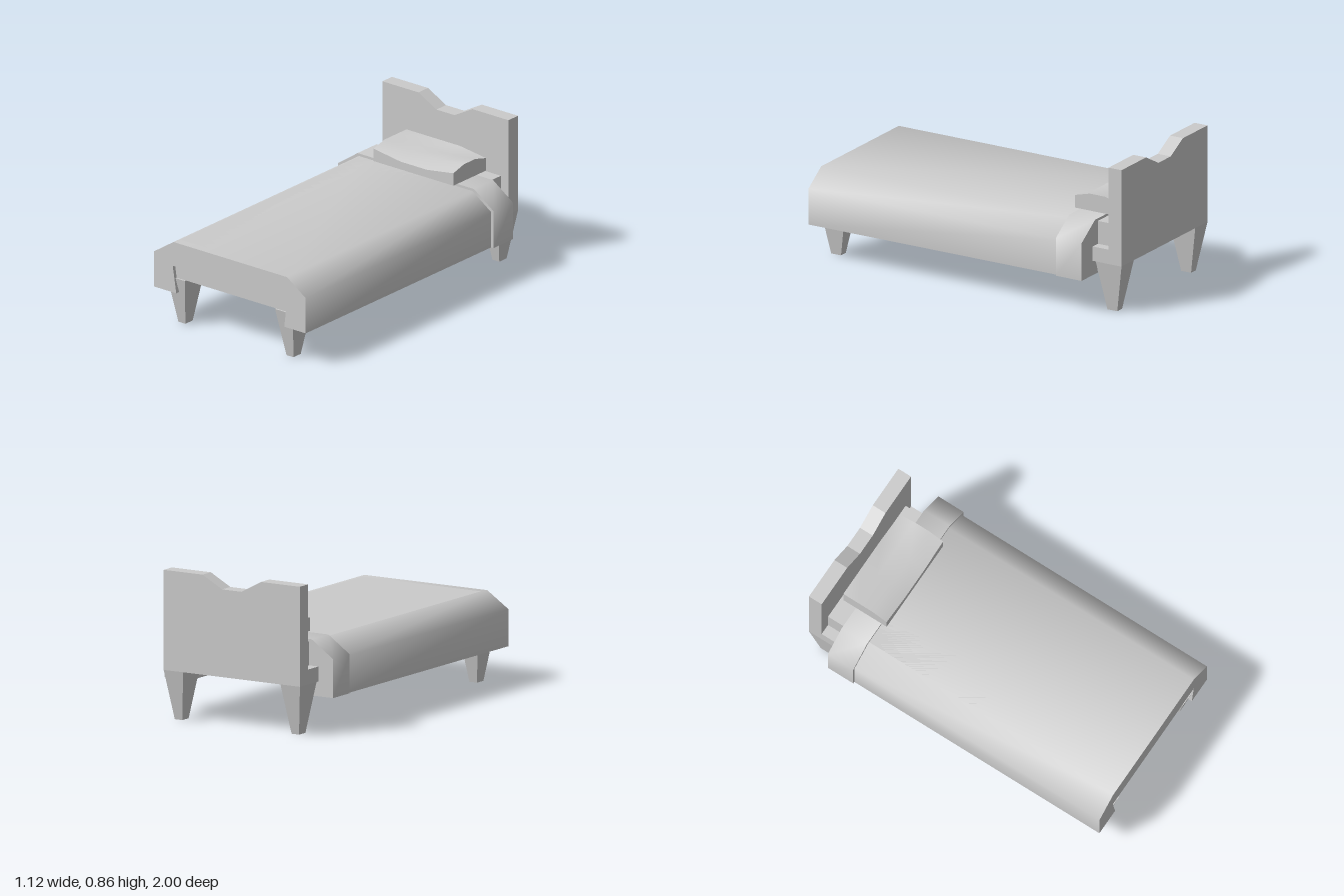
import * as THREE from 'three';
import { toCreasedNormals } from 'three/addons/utils/BufferGeometryUtils.js';

export function createModel() {
  const bed = new THREE.Group();
  bed.name = 'bed';
  const material = new THREE.MeshStandardMaterial({ color: 0xcccccc });

  const add = (name, geometry) => {
    const mesh = new THREE.Mesh(geometry, material);
    mesh.name = name;
    bed.add(mesh);
    return mesh;
  };
  // Box given by its limits
  const box = (name, x0, x1, y0, y1, z0, z1) => {
    const mesh = add(name, new THREE.BoxGeometry(x1 - x0, y1 - y0, z1 - z0));
    mesh.position.set((x0 + x1) / 2, (y0 + y1) / 2, (z0 + z1) / 2);
  };
  // Outline in x, y extruded from z0 to z1
  const prism = (name, points, z0, z1, crease) => {
    const shape = new THREE.Shape(points.map(([x, y]) => new THREE.Vector2(x, y)));
    const g = new THREE.ExtrudeGeometry(shape, { depth: z1 - z0, bevelEnabled: false });
    g.translate(0, 0, z0);
    add(name, toCreasedNormals(g, crease));
  };

  // Frame and mattress
  box('bedBase', -0.465, 0.445, 0.285, 0.37, -0.92, 0.98);
  box('mattress', -0.4, 0.39, 0.37, 0.505, -0.92, 0.95);

  // Headboard with a notched top
  prism('headboard', [
    [-0.465, 0.285], [0.445, 0.285], [0.445, 0.855], [0.185, 0.855],
    [0.055, 0.785], [-0.075, 0.785], [-0.205, 0.855], [-0.465, 0.855],
  ], -1, -0.915, 0.3);

  // Four tapered legs
  for (const [end, z] of [['front', 0.905], ['back', -0.915]]) {
    for (const [side, x] of [['Left', 0.38], ['Right', -0.4]]) {
      const g = new THREE.BoxGeometry(1, 0.285, 1);
      const p = g.attributes.position;
      for (let i = 0; i < p.count; i++) {
        const top = p.getY(i) > 0;
        p.setX(i, p.getX(i) * (top ? 0.13 : 0.05));
        p.setZ(i, p.getZ(i) * (top ? 0.17 : 0.065));
      }
      g.computeVertexNormals();
      add(`${end}${side}Leg`, g).position.set(x, 0.1425, z);
    }
  }

  // Blanket and its turned-down fold share the inner outline
  const drape = (half, shoulderX, shoulderY, topY, offset) => [
    [-half + offset, 0.2], [-0.39, 0.2], [-0.415, 0.36],
    [0.41, 0.36], [0.39, 0.2], [half + offset, 0.2],
    [half + offset, shoulderY], [shoulderX, topY],
    [-shoulderX, topY], [-half + offset, shoulderY],
  ];
  prism('blanket', drape(0.548, 0.41, 0.412, 0.505, -0.003), -0.7, 1, 1.05);
  prism('blanketFold', drape(0.562, 0.42, 0.422, 0.52, 0), -0.81, -0.64, 1.05);

  // Pillow: grid of top heights, rows run from back to front
  const xs = [-0.275, -0.08, 0.11, 0.3];
  const zs = [-0.895, -0.8, -0.7, -0.605];
  const heights = [
    [0.62, 0.62, 0.62, 0.595],
    [0.62, 0.587, 0.587, 0.62],
    [0.62, 0.587, 0.587, 0.62],
    [0.595, 0.567, 0.567, 0.595],
  ];
  // The crown of the cushion
  heights[1][1] = heights[1][2] = heights[2][1] = heights[2][2] = 0.6;
  const pillow = new THREE.BoxGeometry(3, 1, 3, 3, 1, 3);
  const p = pillow.attributes.position;
  for (let i = 0; i < p.count; i++) {
    const c = Math.round(p.getX(i) + 1.5);
    const r = Math.round(p.getZ(i) + 1.5);
    p.setXYZ(i, xs[c], p.getY(i) > 0 ? heights[r][c] : 0.52, zs[r]);
  }
  add('pillow', toCreasedNormals(pillow, 0.8));

  return bed;
}
